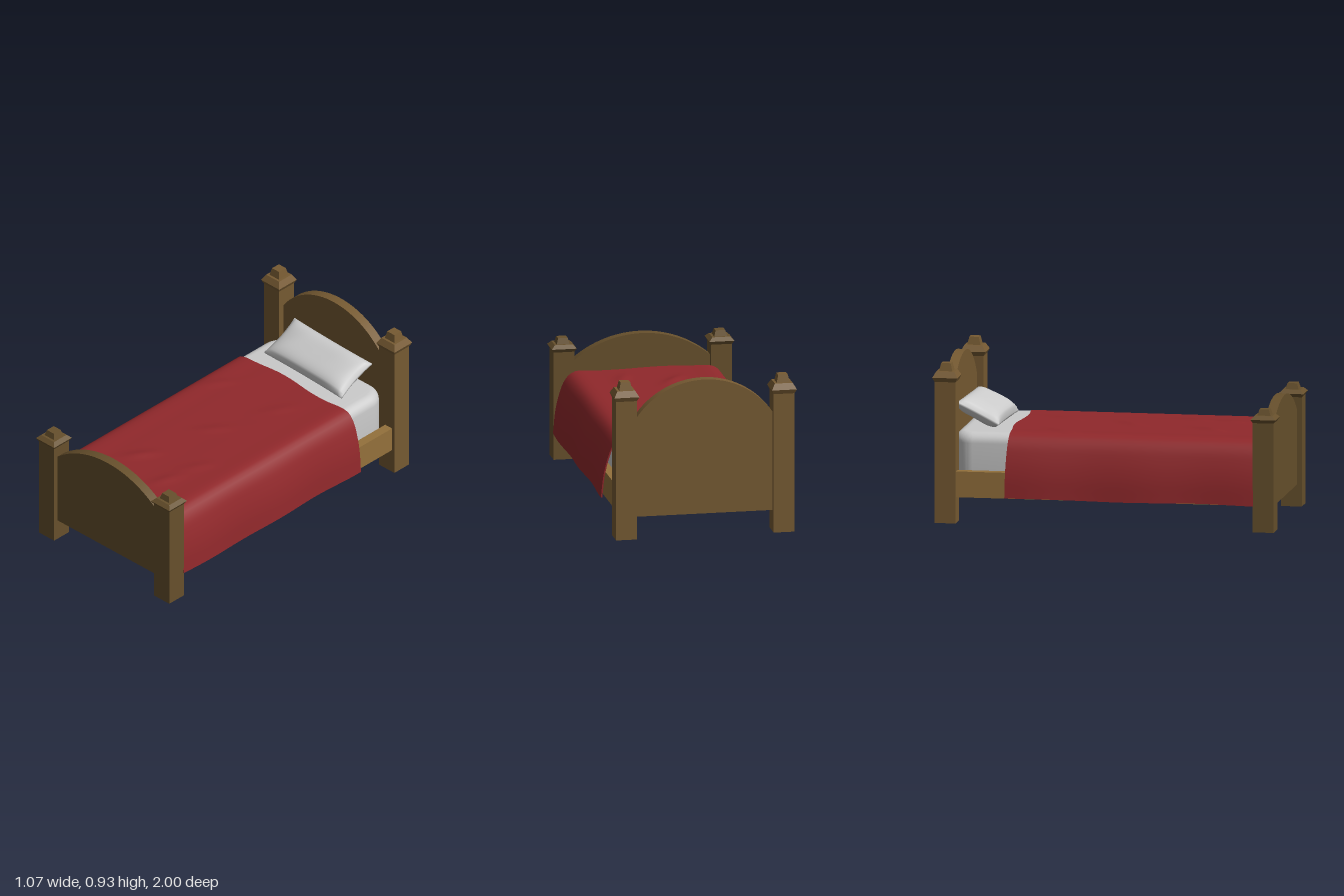
import * as THREE from 'three';
import { toCreasedNormals, mergeVertices } from 'three/addons/utils/BufferGeometryUtils.js';

const material = (color, options = {}) => new THREE.MeshStandardMaterial({ color, ...options });

function addMesh(parent, name, geometry, mat, x = 0, y = 0, z = 0) {
  const mesh = new THREE.Mesh(geometry, mat);
  mesh.name = name;
  mesh.position.set(x, y, z);
  parent.add(mesh);
  return mesh;
}

// Square post with a flared cap and a small tapered finial
function postGeometry(shaft, flare, cap, top) {
  const profile = [
    [0, 0], [0.061, 0], [0.061, shaft], [0.073, flare], [0.052, cap],
    [0.038, cap], [0.028, top], [0, top],
  ].map(([r, y]) => new THREE.Vector2(r * Math.SQRT2, y));
  return new THREE.LatheGeometry(profile, 4, Math.PI / 4);
}

// Board whose upper edge is a circular arc
function boardGeometry(bottom, shoulder, crown) {
  const half = 0.41, rise = crown - shoulder;
  const radius = (half * half + rise * rise) / (2 * rise);
  const angle = Math.asin(half / radius);
  const shape = new THREE.Shape();
  shape.moveTo(-half, bottom);
  shape.lineTo(half, bottom);
  shape.lineTo(half, shoulder);
  shape.absarc(0, crown - radius, radius, Math.PI / 2 - angle, Math.PI / 2 + angle, false);
  shape.closePath();
  const g = new THREE.ExtrudeGeometry(shape, { depth: 0.056, bevelEnabled: false, curveSegments: 40 });
  g.translate(0, 0, -0.028);
  return toCreasedNormals(g, 0.6);
}

// Mattress: rounded plan, rolled upper and lower edges, slightly narrower ends
function mattressGeometry() {
  const b = 0.06, w = 0.442 - b, l = 0.902 - b, r = 0.06;
  const s = new THREE.Shape();
  s.moveTo(-w + r, -l);
  s.absarc(w - r, -l + r, r, -Math.PI / 2, 0, false);
  s.absarc(w - r, l - r, r, 0, Math.PI / 2, false);
  s.absarc(-w + r, l - r, r, Math.PI / 2, Math.PI, false);
  s.absarc(-w + r, -l + r, r, Math.PI, Math.PI * 1.5, false);
  const g = new THREE.ExtrudeGeometry(s, {
    depth: 0.345 - 2 * b, bevelThickness: b, bevelSize: b, bevelSegments: 8, curveSegments: 10,
  });
  g.rotateX(-Math.PI / 2);
  g.translate(0, 0.169 + b, 0);
  const pos = g.attributes.position;
  for (let i = 0; i < pos.count; i++) pos.setX(i, pos.getX(i) * (1 - 0.05 * pos.getZ(i) ** 4));
  return toCreasedNormals(g, 0.7);
}

// Shallow creases in the blanket: x, z, direction, height
const creases = [
  [-0.3, -0.28, 0.6, 0.006], [0.13, -0.32, 0.5, 0.005], [0, 0.08, 0.7, 0.007],
  [-0.12, 0.56, 0.6, 0.01], [0.16, 0.64, 0.3, 0.008], [0.2, 0.42, 0.5, 0.006],
];

function creaseHeight(x, z) {
  let h = 0;
  for (const [cx, cz, a, size] of creases) {
    const dx = x - cx, dz = z - cz;
    const across = dx * Math.cos(a) + dz * Math.sin(a);
    const along = dz * Math.cos(a) - dx * Math.sin(a);
    h += size * Math.exp(-((across / 0.035) ** 2) - (along / 0.1) ** 2);
  }
  return h;
}

// Blanket: a thin slab draped over a cross-section, with soft folds and wavy hems
function blanketGeometry() {
  const drape = new THREE.CatmullRomCurve3([
    [-0.521, 0.153], [-0.509, 0.28], [-0.487, 0.38], [-0.455, 0.463], [-0.41, 0.508], [-0.25, 0.515], [0, 0.515],
    [0.25, 0.515], [0.41, 0.508], [0.455, 0.463], [0.487, 0.38], [0.509, 0.28], [0.521, 0.153],
  ].map(([x, y]) => new THREE.Vector3(x, y, 0)));
  drape.arcLengthDivisions = 400;
  const g = new THREE.BoxGeometry(1, 1, 1, 72, 1, 80);
  const pos = g.attributes.position;
  const p = new THREE.Vector3(), t = new THREE.Vector3();
  for (let i = 0; i < pos.count; i++) {
    const u = THREE.MathUtils.clamp(pos.getX(i) + 0.5, 0, 1);
    const layer = pos.getY(i), v = pos.getZ(i) + 0.5;
    drape.getPointAt(u, p);
    drape.getTangentAt(u, t);
    const hang = Math.max(0, (0.5 - p.y) / 0.35);
    const hem = Math.sin((p.x - 0.05) * 10.5) * Math.max(0, 1 - hang);
    const z = THREE.MathUtils.lerp(-0.581 + hem * 0.012, 0.868 - hem * 0.014, v);
    const side = Math.sign(p.x);
    const sway = hang * side * 0.005 * Math.sin(z * 10 + side);
    const out = layer * 0.008 + creaseHeight(p.x, z);
    pos.setXYZ(i, p.x - t.y * out + sway, p.y + t.x * out + hang * 0.003 * Math.sin(z * 7 + side * 2), z);
  }
  g.computeVertexNormals();
  return g;
}

// Pillow: puffed centre, thin seam and drawn-out corners
function pillowGeometry() {
  let g = new THREE.BoxGeometry(2, 2, 2, 36, 2, 20);
  g.deleteAttribute('uv');
  g.deleteAttribute('normal');
  const pos = g.attributes.position;
  for (let i = 0; i < pos.count; i++) {
    const u = pos.getX(i), s = pos.getY(i), v = pos.getZ(i);
    const puff = Math.sqrt(Math.max(0, (1 - u ** 4) * (1 - v ** 4)));
    const ripple = 1 + 0.06 * Math.sin(u * 9 + v * 4) * u * u;
    pos.setXYZ(i,
      u * 0.31 * (1 - 0.04 * (1 - v * v)),
      s * (0.006 + 0.054 * puff * ripple),
      v * 0.136 * (1 - 0.03 * (1 - u * u)));
  }
  g = mergeVertices(g, 1e-4);
  g.computeVertexNormals();
  return g;
}

export function createModel() {
  const model = new THREE.Group();
  model.name = 'bed';
  const headWood = material(0x765a32, { flatShading: true });
  const footWood = material(0x67502c, { flatShading: true });
  const headBoardWood = material(0x765a32);
  const footBoardWood = material(0x67502c);
  const railWood = material(0x94713c);
  const linen = material(0xcccccc);
  const cloth = material(0x90282b, { side: THREE.DoubleSide });

  // Posts and side rails
  const headPost = postGeometry(0.82, 0.845, 0.88, 0.925);
  const footPost = postGeometry(0.635, 0.655, 0.676, 0.71);
  const rail = new THREE.BoxGeometry(0.055, 0.15, 1.75);
  for (const [side, x] of [['left', 1], ['right', -1]]) {
    addMesh(model, `${side}HeadPost`, headPost, headWood, x * 0.46, 0, -0.926);
    addMesh(model, `${side}FootPost`, footPost, footWood, x * 0.46, 0, 0.926);
    addMesh(model, `${side}Rail`, rail, railWood, x * 0.475, 0.225, 0);
  }

  // End boards
  addMesh(model, 'headboard', boardGeometry(0.127, 0.692, 0.92), headBoardWood, 0, 0, -0.93);
  addMesh(model, 'footboard', boardGeometry(0.127, 0.56, 0.715), footBoardWood, 0, 0, 0.93);

  // Bedding
  addMesh(model, 'mattress', mattressGeometry(), linen);
  addMesh(model, 'blanket', blanketGeometry(), cloth);
  const pillow = addMesh(model, 'pillow', pillowGeometry(), linen, 0.003, 0.595, -0.772);
  pillow.rotation.set(0.46, -0.02, -0.025);
  return model;
}
